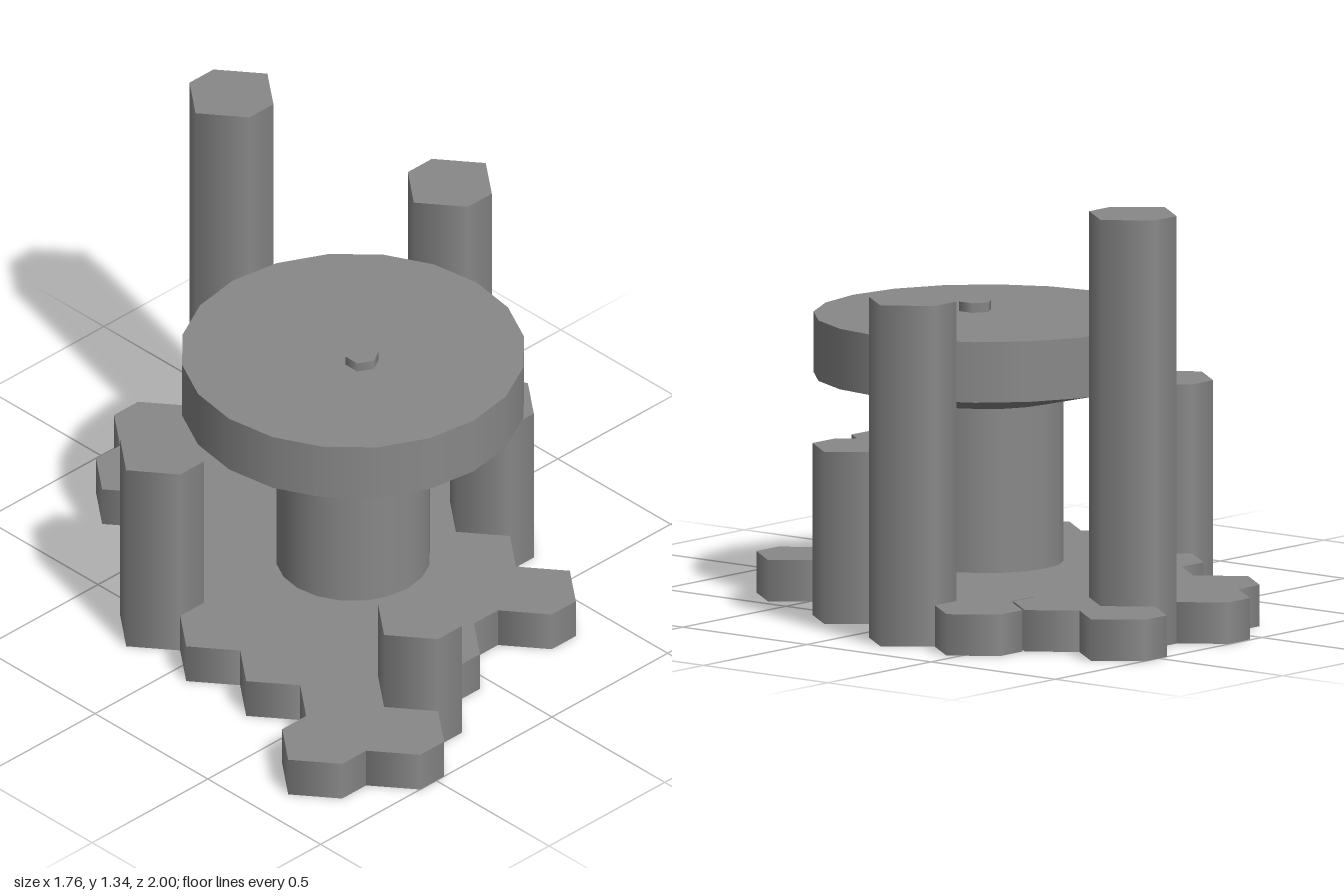
import * as THREE from 'three';

const mat = new THREE.MeshStandardMaterial({ color: 0x888888, side: THREE.DoubleSide });
const COL = 0.2072; // spacing between columns of tiles
const ROW = 0.266; // spacing between tiles in one column
const FRONT = 0.867; // centre of the foremost row
const BASE = 0.13;

const colX = (c) => (c - 3.5) * COL;
const rowZ = (r) => FRONT - r * ROW;

// Hexagonal prism, open underneath, with its points on the x axis
function hexPrism(height) {
  const geo = new THREE.CylinderGeometry(COL * 0.75, COL * 0.75, height, 6, 1, false, Math.PI / 2);
  geo.translate(0, height / 2, 0);
  const p = geo.attributes.position;
  for (let i = 0; i < p.count; i++) {
    const x = p.getX(i), z = p.getZ(i);
    if (Math.abs(z) > 0.01) {
      p.setX(i, Math.sign(x) * COL / 4);
      p.setZ(i, Math.sign(z) * ROW / 2);
    }
  }
  // The last six triangles are the bottom cap
  geo.setIndex(Array.from(geo.index.array).slice(0, -18));
  geo.clearGroups();
  return geo;
}

export function createModel() {
  const model = new THREE.Group();

  function addGroup(name, x, z) {
    const group = new THREE.Group();
    group.name = name;
    group.position.set(x, 0, z);
    model.add(group);
    return group;
  }

  function add(parent, name, geo, x, y, z) {
    const mesh = new THREE.Mesh(geo, mat);
    mesh.name = name;
    mesh.position.set(x, y, z);
    parent.add(mesh);
  }

  // Base tiles: for each column, the rearmost row and the number of tiles
  const field = addGroup('hexField', 0, 0);
  const columns = [[0.5, 1], [4, 5], [4.5, 5], [6, 6], [6.5, 6], [5, 5], [4.5, 3], [5, 2]];
  // Taller pillars stand in place of some tiles: column, index, height
  const pillars = { '1,0': 0.66, '2,4': 0.4, '6,2': 0.54, '7,1': 1.07 };
  const tileGeo = hexPrism(BASE);
  columns.forEach(([rear, count], c) => {
    for (let i = 0; i < count; i++) {
      const height = pillars[`${c},${i}`];
      add(field, height ? 'pillar' : 'tile', height ? hexPrism(height) : tileGeo, colX(c), 0, rowZ(rear - i));
    }
  });

  // Back corner cluster, set a hair apart from the rest
  const corner = addGroup('cornerCluster', -0.005, -0.006);
  add(corner, 'tile', tileGeo, colX(6), 0, rowZ(6.5));
  add(corner, 'tile', tileGeo, colX(6), 0, rowZ(5.5));
  add(corner, 'tallPillar', hexPrism(1.342), colX(5), 0, rowZ(6));

  // Round tower: stem, flared underside and disc with a closed top
  const tower = addGroup('discTower', 0.037, 0.08);
  const section = (name, rTop, rBottom, y0, y1, open) =>
    add(tower, name, new THREE.CylinderGeometry(rTop, rBottom, y1 - y0, 20, 1, open), 0, (y0 + y1) / 2, 0);
  section('stem', 0.24, 0.24, BASE, 0.645, true);
  section('flare', 0.535, 0.24, 0.645, 0.715, true);
  section('disc', 0.535, 0.535, 0.715, 0.905, false);

  // Small hexagonal knob on the disc
  add(model, 'knob', new THREE.CylinderGeometry(0.053, 0.053, 0.03, 6), 0.013, 0.92, 0.144);

  return model;
}
